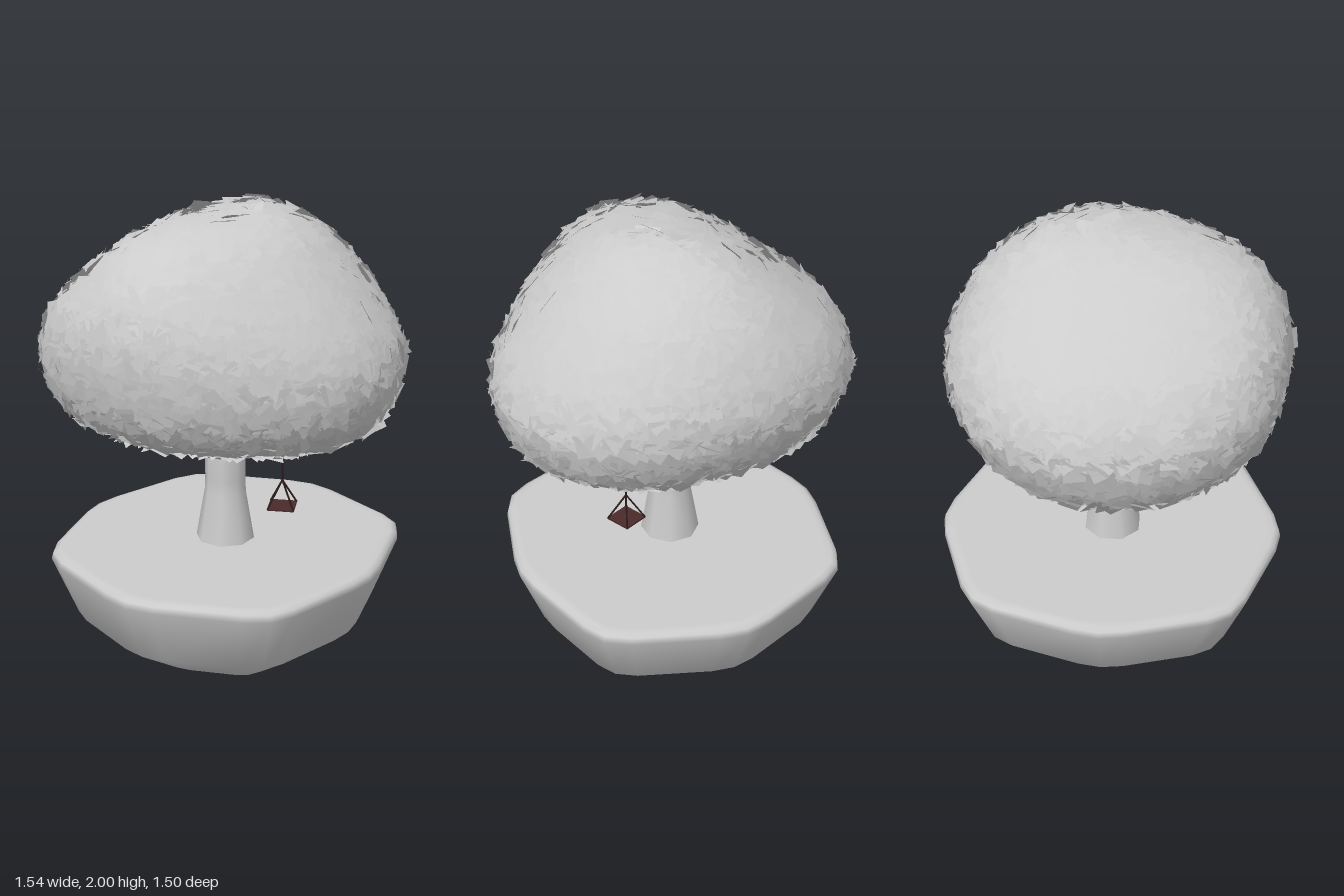
import * as THREE from 'three';
import { mergeGeometries } from 'three/addons/utils/BufferGeometryUtils.js';

const V = (x, y, z) => new THREE.Vector3(x, y, z);
const grey = new THREE.MeshStandardMaterial({ color: 0xcccccc });
const leafGrey = new THREE.MeshStandardMaterial({ color: 0xcccccc, side: THREE.DoubleSide });
const ropeBrown = new THREE.MeshStandardMaterial({ color: 0x2a1a1a });
const seatBrown = new THREE.MeshStandardMaterial({ color: 0x4a2a2a });

function seeded(seed) {
  return () => {
    seed = (seed * 1664525 + 1013904223) % 4294967296;
    return seed / 4294967296;
  };
}

function addMesh(parent, name, geometry, material) {
  const mesh = new THREE.Mesh(geometry, material);
  mesh.name = name;
  parent.add(mesh);
  return mesh;
}

// Skin closed rings listed from bottom to top
function loft(rings) {
  const n = rings[0].length, index = [];
  for (let i = 0; i < rings.length - 1; i++) {
    for (let j = 0; j < n; j++) {
      const k = (j + 1) % n, a = i * n, b = a + n;
      index.push(a + j, b + j, a + k, b + j, b + k, a + k);
    }
  }
  const geometry = new THREE.BufferGeometry().setFromPoints(rings.flat());
  geometry.setIndex(index);
  geometry.computeVertexNormals();
  return geometry;
}

// Octagonal bowl with softened corners
function islandGeometry() {
  const corners = [[0.715, 0], [0.565, 0.555], [0, 0.77], [-0.565, 0.555],
    [-0.73, 0], [-0.565, -0.565], [0, -0.775], [0.565, -0.565]].map(([x, z]) => V(x, 0, z));
  const outline = [];
  corners.forEach((c, i) => {
    const before = c.clone().lerp(corners[(i + 7) % 8], 0.2);
    const after = c.clone().lerp(corners[(i + 1) % 8], 0.2);
    const middle = before.clone().add(after).multiplyScalar(0.25).addScaledVector(c, 0.5);
    outline.push(before, middle, after);
  });
  const profile = [[0.001, 0], [0.33, 0.002], [0.42, 0.02], [0.53, 0.06], [0.86, 0.225],
    [1, 0.485], [0.99, 0.513], [0.96, 0.523], [0.92, 0.525], [0.001, 0.525]];
  return loft(profile.map(([s, y]) => outline.map((p) => V(p.x * s, y, p.z * s))));
}

// Canopy cross-sections: height, then reach towards -x, +x, -z, +z
const levels = [
  [1.1, 0.43, 0.4, 0.36, 0.4],
  [1.065, 0.52, 0.5, 0.43, 0.48],
  [1.14, 0.64, 0.64, 0.53, 0.59],
  [1.25, 0.7, 0.695, 0.6, 0.66],
  [1.38, 0.74, 0.715, 0.645, 0.69],
  [1.5, 0.7, 0.665, 0.64, 0.7],
  [1.62, 0.61, 0.58, 0.59, 0.68],
  [1.75, 0.44, 0.47, 0.51, 0.61],
  [1.85, 0.29, 0.37, 0.4, 0.5],
  [1.91, 0.18, 0.28, 0.3, 0.32],
  [1.945, 0.06, 0.18, 0.2, 0.1],
  [1.96, -0.07, 0.08, 0.09, -0.08],
];

function canopyPoint(t, angle) {
  const i = THREE.MathUtils.clamp(Math.floor(t), 0, levels.length - 2);
  const [y, left, right, back, front] = levels[i].map((v, k) => THREE.MathUtils.lerp(v, levels[i + 1][k], t - i));
  const c = Math.cos(angle), s = Math.sin(angle);
  // Fuller towards front left, flatter towards front right; rim arches up at front and back
  const bulge = 1 + (s > 0 ? -0.05 * Math.sign(c) : 0.02) * Math.sin(2 * angle) ** 2;
  const arch = 0.05 * s * s * Math.max(0, 1 - t / 3);
  return V(c * bulge * (c > 0 ? right : left), y + arch, s * bulge * (s > 0 ? front : back));
}

// Square leaves lying roughly flat on the canopy, shaded as one smooth surface
function leafGeometry() {
  const random = seeded(7), leaves = [];
  const rows = 62, start = 0.35, end = levels.length - 1.1;
  const spread = () => (random() - 0.5) * 2;
  for (let r = 0; r < rows; r++) {
    const row = start + (end - start) * r / (rows - 1);
    const width = canopyPoint(row, 0).distanceTo(canopyPoint(row, Math.PI));
    const count = Math.max(4, Math.round(width * Math.PI / 0.052));
    for (let k = 0; k < count; k++) {
      const t = THREE.MathUtils.clamp(row + spread() * 0.12, start, end);
      const angle = (k + random()) / count * Math.PI * 2;
      const p = canopyPoint(t, angle);
      const up = canopyPoint(t + 0.3, angle).sub(canopyPoint(t - 0.3, angle));
      const along = canopyPoint(t, angle + 0.05).sub(canopyPoint(t, angle - 0.05));
      const normal = up.cross(along).normalize();
      const tilted = normal.clone().add(V(spread(), spread(), spread()).multiplyScalar(0.38)).normalize();
      const turn = new THREE.Quaternion().setFromUnitVectors(V(0, 0, 1), tilted)
        .multiply(new THREE.Quaternion().setFromAxisAngle(V(0, 0, 1), random() * Math.PI));
      const leaf = new THREE.PlaneGeometry(0.1, 0.085);
      leaf.applyQuaternion(turn);
      p.addScaledVector(normal, 0.005 + random() * 0.012);
      leaf.translate(p.x, p.y, p.z);
      for (let v = 0; v < 4; v++) leaf.attributes.normal.setXYZ(v, normal.x, normal.y, normal.z);
      leaves.push(leaf);
    }
  }
  return mergeGeometries(leaves);
}

function rope(parent, name, from, to) {
  const path = new THREE.LineCurve3(from, to);
  addMesh(parent, name, new THREE.TubeGeometry(path, 1, 0.004, 6), ropeBrown);
}

export function createModel() {
  const model = new THREE.Group();
  model.name = 'treeIsland';

  addMesh(model, 'island', islandGeometry(), grey);

  // Trunk flares at the foot
  const trunkProfile = [[0.131, 0.5], [0.126, 0.53], [0.09, 0.74], [0.0875, 0.8], [0.0875, 1.26], [0, 1.27]];
  const trunk = addMesh(model, 'trunk',
    new THREE.LatheGeometry(trunkProfile.map(([x, y]) => new THREE.Vector2(x, y)), 8), grey);
  trunk.position.set(-0.01, 0, 0.005);
  trunk.rotation.y = Math.PI / 8;

  // Canopy: smooth hollow shell, open below, covered in leaves
  const canopy = new THREE.Group();
  canopy.name = 'canopy';
  model.add(canopy);
  const rings = levels.map((_, i) =>
    Array.from({ length: 40 }, (_, j) => canopyPoint(i, j / 40 * Math.PI * 2)));
  const crown = V(0.06, 1.963, -0.06);
  rings.push(rings[0].map(() => crown));
  addMesh(canopy, 'canopyShell', loft(rings), leafGrey);
  addMesh(canopy, 'leaves', leafGeometry(), leafGrey);

  // Swing hanging from one rope that splits to the seat corners
  const swing = new THREE.Group();
  swing.name = 'swing';
  swing.position.set(0.23, 0, -0.07);
  model.add(swing);
  const knot = V(0, 0.81, 0);
  rope(swing, 'mainRope', V(0, 1.3, 0), knot);
  for (let i = 0; i < 4; i++) {
    const angle = 0.38 + i * Math.PI / 2;
    rope(swing, 'cornerRope', knot, V(Math.cos(angle) * 0.079, 0.692, Math.sin(angle) * 0.079));
  }
  const seat = addMesh(swing, 'seat', new THREE.BoxGeometry(0.114, 0.008, 0.114), seatBrown);
  seat.position.y = 0.692;
  seat.rotation.y = Math.PI / 4 - 0.38;

  return model;
}
